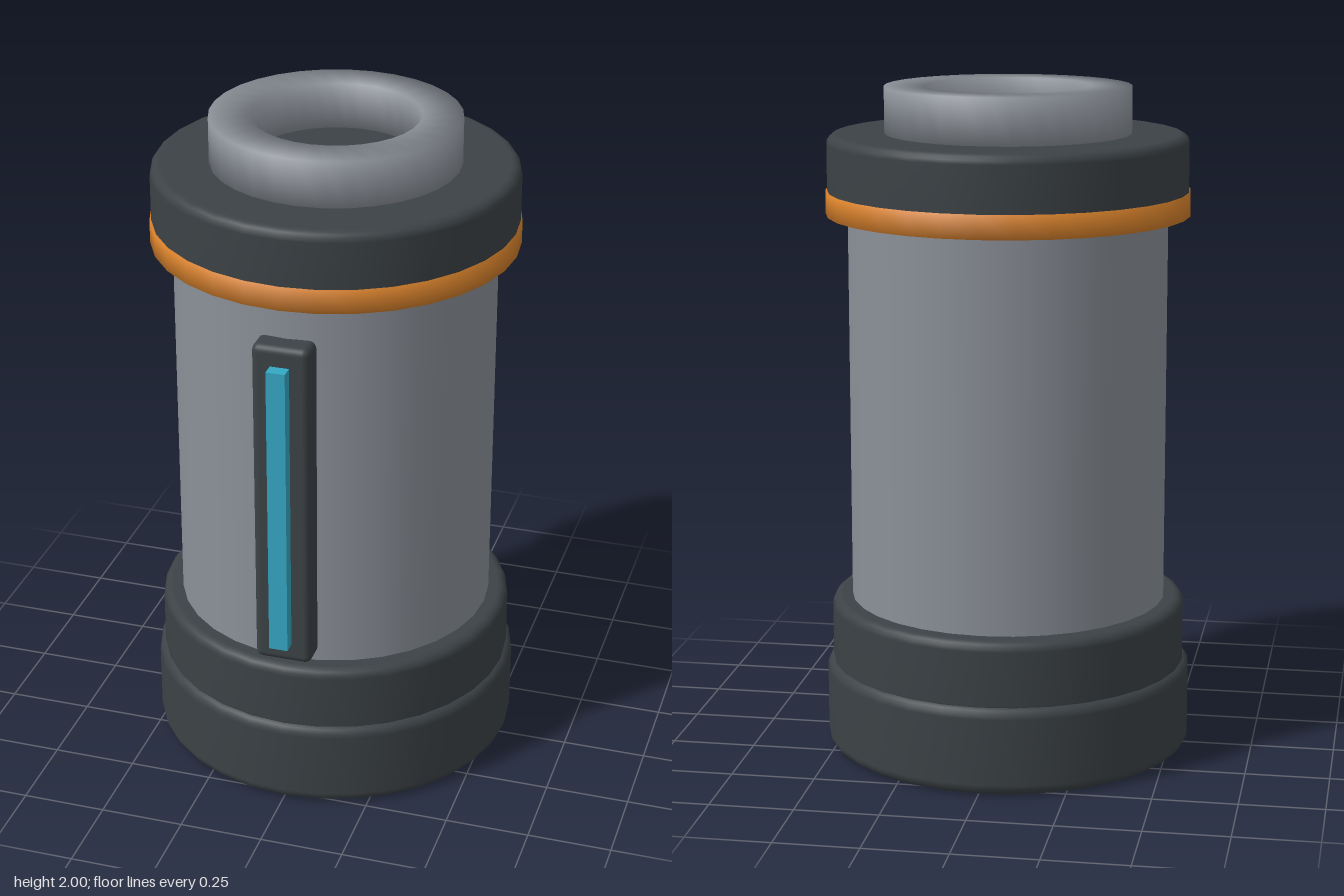
import * as THREE from 'three';
import { mergeVertices } from 'three/addons/utils/BufferGeometryUtils.js';
import { RoundedBoxGeometry } from 'three/addons/geometries/RoundedBoxGeometry.js';

const SIDES = 32;
const steel = new THREE.MeshStandardMaterial({ color: 0x8b9098 });
const dark = new THREE.MeshStandardMaterial({ color: 0x3c4246 });
const orange = new THREE.MeshStandardMaterial({ color: 0xd9822b });
const cyan = new THREE.MeshStandardMaterial({ color: 0x35a8c4 });

// Solid disc with rounded top and bottom rims
function roundedDisc(radius, y0, y1, bevel) {
  const pts = [new THREE.Vector2(0, y0)];
  for (const [cy, start] of [[y0 + bevel, -Math.PI / 2], [y1 - bevel, 0]]) {
    for (let i = 0; i <= 4; i++) {
      const a = start + (i / 4) * (Math.PI / 2);
      pts.push(new THREE.Vector2(radius - bevel + bevel * Math.cos(a), cy + bevel * Math.sin(a)));
    }
  }
  pts.push(new THREE.Vector2(0, y1));
  return new THREE.LatheGeometry(pts, SIDES);
}

// Rectangular-section ring, smooth shaded around its section
function softRing(inner, outer, y0, y1) {
  const pts = [[inner, y0], [outer, y0], [outer, y1], [inner, y1], [inner, y0]]
    .map(([r, y]) => new THREE.Vector2(r, y));
  let geo = new THREE.LatheGeometry(pts, SIDES);
  geo.deleteAttribute('normal');
  geo.deleteAttribute('uv');
  geo = mergeVertices(geo, 1e-4);
  geo.computeVertexNormals();
  return geo;
}

export function createModel() {
  const model = new THREE.Group();
  model.name = 'canister';
  const add = (name, geometry, material, y = 0, z = 0) => {
    const mesh = new THREE.Mesh(geometry, material);
    mesh.name = name;
    mesh.position.set(0, y, z - 0.012);
    model.add(mesh);
  };

  // Stacked round parts, bottom to top
  add('base', roundedDisc(0.553, 0, 0.27, 0.035), dark);
  add('lowerCollar', roundedDisc(0.535, 0.24, 0.462, 0.03), dark);
  add('body', new THREE.CylinderGeometry(0.475, 0.475, 1.36, SIDES), steel, 1.08);
  add('accentRing', softRing(0.5, 0.54, 1.625, 1.695), orange);
  add('lid', roundedDisc(0.535, 1.66, 1.863, 0.03), dark);
  add('topRing', softRing(0.245, 0.365, 1.855, 2), steel);

  // Front gauge
  add('gaugeFrame', new RoundedBoxGeometry(0.17, 1.024, 0.12, 3, 0.022), dark, 0.998, 0.478);
  add('gaugeStrip', new THREE.BoxGeometry(0.056, 0.9, 0.06), cyan, 1, 0.547);
  return model;
}
